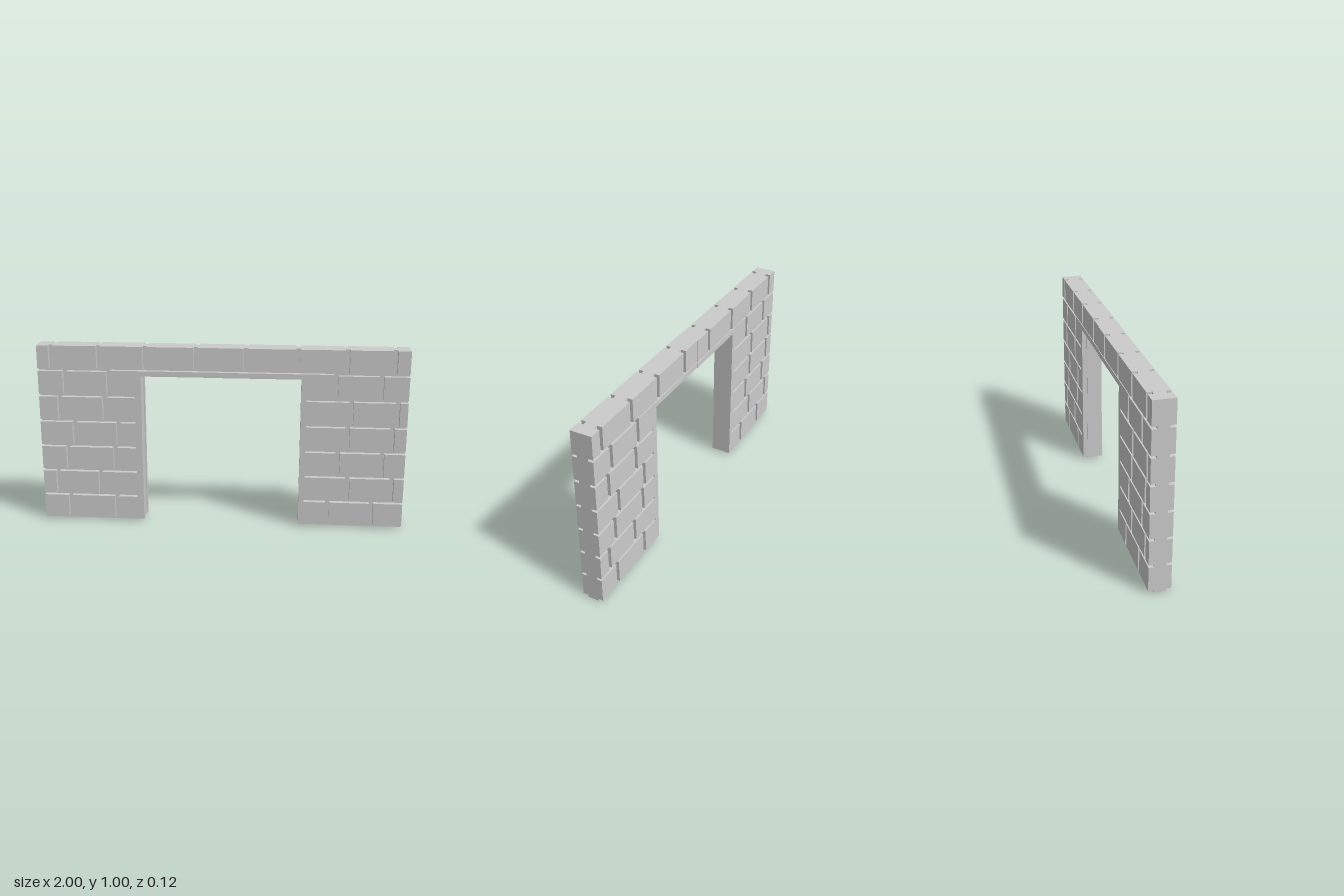
import * as THREE from 'three';

const COURSE = 0.1433, FIRST = 0.013, BRICK = 0.13; // course pitch, lowest edge, brick height
const FACE = 0.0575, CORE = 0.03, STEP = 0.0015;    // half depths, offset between the halves
const JOINT = 0.024;                                // width of upright joints

// Joint positions, as distance from the middle, [inner, outer] per course from the bottom
const halves = [
  { side: -1, name: 'right', jamb: 0.435, slot: 0.47,
    joints: [[0.588, 0.853], [0.677, 0.917], [0.588, 0.853], [0.567, 0.81], [0.639, 0.888], [0.613, 0.853]],
    top: [0.136, 0.411, 0.663, 0.925] },
  { side: 1, name: 'left', jamb: 0.43, slot: 0.46,
    joints: [[0.589, 0.83], [0.695, 0.935], [0.637, 0.876], [0.685, 0.925], [0.7, 0.946], [0.615, 0.855]],
    top: [0.133, 0.411, 0.671, 0.92] },
];

const material = new THREE.MeshStandardMaterial({ color: 0xcccccc, flatShading: true });

// Flat slab from an outline, mirrored to its side of the wall
function slab(points, side, z0, z1, name) {
  const shape = new THREE.Shape(points.map(([u, y]) => new THREE.Vector2(u * side, y)));
  const geometry = new THREE.ExtrudeGeometry(shape, { depth: z1 - z0, bevelEnabled: false });
  geometry.translate(0, 0, z0);
  const mesh = new THREE.Mesh(geometry, material);
  mesh.name = name;
  return mesh;
}

const block = (u0, u1, y0, y1) => [[u0, y0], [u1, y0], [u1, y1], [u0, y1]];

// Bricks on one face of one half
function faceBricks({ side, name, jamb, slot, joints, top }) {
  const group = new THREE.Group();
  group.name = name + 'FaceBricks';
  const z0 = CORE + side * STEP, z1 = FACE + side * STEP;
  const add = (points, part) => group.add(slab(points, side, z0, z1, part));

  // Lintel, jamb and the bricks toothed into it
  const surround = [[0, 0.838], [jamb, 0.838], [jamb, FIRST]];
  joints.forEach(([inner], i) => {
    const y = FIRST + i * COURSE, u = inner - JOINT / 2, last = i === 5;
    if (i > 0) surround.push([slot, y]);
    surround.push([u, y], [u, last ? 0.867 : y + BRICK]);
    if (!last) surround.push([slot, y + BRICK]);
  });
  surround.push([0, 0.867]);
  add(surround, 'doorSurround');

  // Pier bricks outside the surround
  joints.forEach(([inner, outer], i) => {
    const y = FIRST + i * COURSE;
    add(block(inner + JOINT / 2, outer - JOINT / 2, y, y + BRICK), 'pierBrick');
    add(block(outer + JOINT / 2, 1, y, y + BRICK), 'pierEndBrick');
  });

  // Top course
  const edges = [-JOINT / 2, ...top, 1 + JOINT / 2];
  for (let i = 0; i < edges.length - 1; i++) {
    add(block(edges[i] + JOINT / 2, edges[i + 1] - JOINT / 2, 0.873, 1), 'topBrick');
  }
  return group;
}

// Mortar core with the foot stepped back at the opening
function core({ side, name, jamb }) {
  const points = [[0, 0.838], [jamb, 0.838], [jamb, FIRST], [jamb + 0.018, FIRST],
    [jamb + 0.018, 0], [1, 0], [1, 1], [0, 1]];
  return slab(points, side, -CORE + side * STEP, CORE + side * STEP, name + 'MortarCore');
}

export function createModel() {
  const wall = new THREE.Group();
  wall.name = 'brickWallWithDoorway';

  const front = new THREE.Group();
  front.name = 'frontFace';
  for (const half of halves) {
    wall.add(core(half));
    front.add(faceBricks(half));
  }

  // The back face is the front turned half a circle
  const back = front.clone();
  back.name = 'backFace';
  back.rotation.y = Math.PI;
  wall.add(front, back);
  return wall;
}
